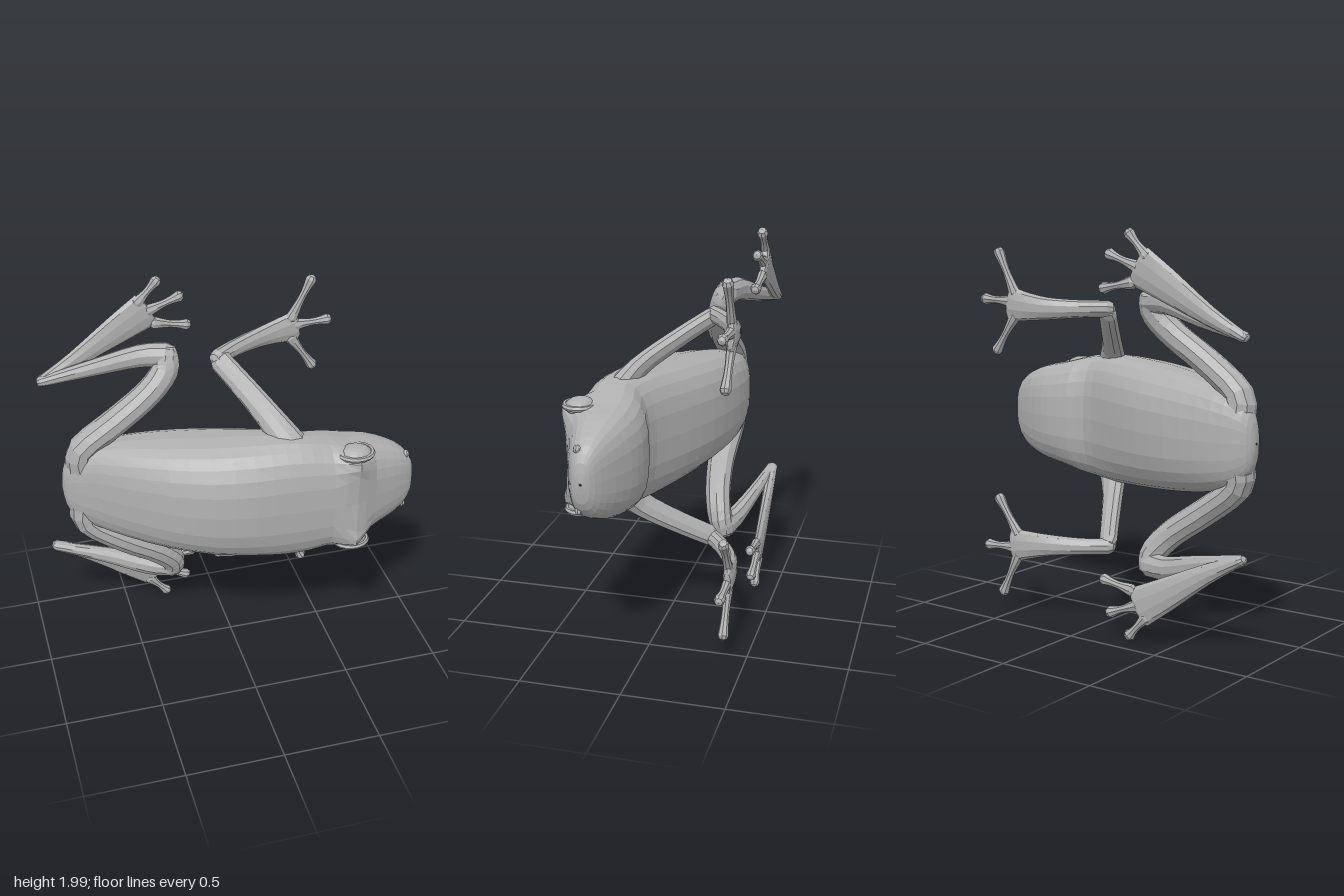
import * as THREE from 'three';

const skin = new THREE.MeshStandardMaterial({ color: 0xb0b0b0, flatShading: true });
skin.name = 'grey skin';

const V = (x, y, z) => new THREE.Vector3(x, y, z);

// Skin a list of equal rings, each counter-clockwise about the direction of travel
function loft(rings) {
  const n = rings[0].length, pos = [], idx = [];
  rings.forEach(r => r.forEach(p => pos.push(p.x, p.y, p.z)));
  for (let i = 0; i < rings.length - 1; i++) {
    for (let j = 0; j < n; j++) {
      const a = i * n + j, b = i * n + (j + 1) % n;
      idx.push(a, b, b + n, a, b + n, a + n);
    }
  }
  const g = new THREE.BufferGeometry();
  g.setAttribute('position', new THREE.Float32BufferAttribute(pos, 3));
  g.setIndex(idx);
  g.computeVertexNormals();
  return g;
}

const spline = pts => new THREE.CatmullRomCurve3(pts, false, 'catmullrom', 0.5);

// Round-ended limb; rows are [x, y, z, radius in the xy plane, radius towards z]
function limb(rows, sides = 8, perRow = 3) {
  const path = spline(rows.map(r => V(r[0], r[1], r[2])));
  const size = spline(rows.map(r => V(r[3], r[4], 0)));
  const steps = (rows.length - 1) * perRow, rings = [];
  const ring = (t, shift, scale) => {
    const c = path.getPoint(t), d = path.getTangent(t), s = size.getPoint(t);
    const a = d.clone().cross(V(0, 0, 1)).normalize(), b = d.clone().cross(a);
    c.addScaledVector(d, shift * Math.min(s.x, s.y));
    rings.push(Array.from({ length: sides }, (_, j) => {
      const q = (j / sides) * Math.PI * 2;
      return c.clone().addScaledVector(a, Math.cos(q) * s.x * scale)
        .addScaledVector(b, Math.sin(q) * s.y * scale);
    }));
  };
  ring(0, -0.95, 0.01);
  ring(0, -0.65, 0.7);
  for (let i = 0; i <= steps; i++) ring(i / steps, 0, 1);
  ring(1, 0.65, 0.7);
  ring(1, 0.95, 0.01);
  return loft(rings);
}

// Body and head; rows are [x, half width, back z, belly z]
function bodyGeometry() {
  const rows = [
    [-0.842, 0.005, -0.16, -0.17], [-0.83, 0.1, -0.12, -0.2], [-0.79, 0.175, -0.08, -0.235],
    [-0.7, 0.23, -0.02, -0.255], [-0.55, 0.27, 0.1, -0.26], [-0.36, 0.3, 0.235, -0.235],
    [-0.16, 0.32, 0.33, -0.18], [0.04, 0.333, 0.37, -0.095], [0.2, 0.34, 0.38, -0.015],
    [0.33, 0.33, 0.385, 0.035], [0.43, 0.31, 0.39, 0.01], [0.55, 0.28, 0.39, 0.005],
    [0.66, 0.26, 0.35, 0.03], [0.77, 0.22, 0.31, 0.075], [0.85, 0.17, 0.275, 0.12],
    [0.895, 0.1, 0.245, 0.16], [0.91, 0.005, 0.205, 0.195],
  ];
  const outline = spline(rows.map(r => V(r[0], r[1], 0)));
  const profile = spline(rows.map(r => V(r[2], r[3], 0)));
  const steps = (rows.length - 1) * 2, sides = 24, rings = [];
  for (let i = 0; i <= steps; i++) {
    const { x, y: w } = outline.getPoint(i / steps), { x: top, y: low } = profile.getPoint(i / steps);
    const brow = Math.exp(-(((x - 0.55) / 0.075) ** 2));
    rings.push(Array.from({ length: sides }, (_, j) => {
      const q = (j / sides) * Math.PI * 2, c = Math.cos(q), s = Math.sin(q);
      // Squarer section with raised corners above the eyes
      const k = s > 0 ? 0.76 - 0.36 * brow : 0.76;
      const power = v => Math.sign(v) * Math.abs(v) ** k;
      const lift = s > 0 ? brow * 0.04 * (2 * Math.abs(c * s)) ** 2 : 0;
      return V(x, 1 + w * power(c), (top + low) / 2 + ((top - low) / 2) * power(s) + lift);
    }));
  }
  return loft(rings);
}

export function createModel() {
  const model = new THREE.Group();
  model.name = 'frog';
  const add = (parent, name, geometry) => {
    const m = new THREE.Mesh(geometry, skin);
    m.name = name;
    parent.add(m);
    return m;
  };
  add(model, 'body', bodyGeometry());

  for (const s of [1, -1]) {
    const side = new THREE.Group();
    side.name = s > 0 ? 'upperSide' : 'lowerSide';
    model.add(side);
    // Mirror the rows about the body axis at y = 1
    const part = (name, rows, sides) =>
      add(side, name, limb(rows.map(r => [r[0], 1 + s * (r[1] - 1), ...r.slice(2)]), sides));
    const digit = (name, x0, y0, x1, y1, z) => part(name, [
      [x0, y0, z, 0.034, 0.025],
      [x0 + (x1 - x0) * 0.45, y0 + (y1 - y0) * 0.45, z, 0.02, 0.02],
      [x0 + (x1 - x0) * 0.75, y0 + (y1 - y0) * 0.75, z, 0.021, 0.022],
      [x1, y1, z, 0.03, 0.028],
    ], 8);

    // Hind leg
    part('thigh', [
      [-0.73, 1.1, -0.15, 0.09, 0.085], [-0.73, 1.22, -0.14, 0.07, 0.08],
      [-0.55, 1.36, -0.13, 0.07, 0.075], [-0.38, 1.48, -0.15, 0.07, 0.07],
      [-0.285, 1.58, -0.18, 0.07, 0.066], [-0.27, 1.655, -0.205, 0.062, 0.06],
    ], 10);
    part('shin', [
      [-0.27, 1.65, -0.205, 0.066, 0.06], [-0.4, 1.645, -0.24, 0.06, 0.052],
      [-0.62, 1.58, -0.3, 0.045, 0.038], [-0.88, 1.51, -0.355, 0.026, 0.03],
    ], 10);
    part('foot', [
      [-0.88, 1.508, -0.36, 0.025, 0.032], [-0.7, 1.6, -0.37, 0.048, 0.03],
      [-0.48, 1.73, -0.38, 0.08, 0.028], [-0.33, 1.815, -0.387, 0.1, 0.024],
    ], 10);
    digit('hindToe', -0.37, 1.86, -0.275, 1.965, -0.385);
    digit('hindToe', -0.32, 1.81, -0.16, 1.87, -0.385);
    digit('hindToe', -0.29, 1.74, -0.125, 1.71, -0.385);

    // Foreleg
    part('upperArm', [
      [0.27, 1.24, 0.22, 0.1, 0.07], [0.2, 1.36, 0.13, 0.072, 0.05],
      [0.1, 1.48, -0.03, 0.062, 0.045], [0.0, 1.585, -0.19, 0.058, 0.042],
    ], 10);
    part('forearm', [
      [-0.01, 1.6, -0.2, 0.042, 0.045], [0.1, 1.6, -0.28, 0.044, 0.04],
      [0.25, 1.6, -0.355, 0.056, 0.036], [0.38, 1.61, -0.385, 0.075, 0.03],
      [0.455, 1.62, -0.388, 0.09, 0.025],
    ], 10);
    digit('finger', 0.43, 1.67, 0.53, 1.875, -0.385);
    digit('finger', 0.45, 1.63, 0.625, 1.64, -0.385);
    digit('finger', 0.43, 1.56, 0.55, 1.385, -0.385);

    // Eye with its lid, and nostril
    const eye = add(side, 'eye', new THREE.SphereGeometry(1, 14, 10));
    eye.scale.set(0.082, 0.045, 0.072);
    eye.position.set(0.55, 1 + s * 0.255, 0.315);
    const lid = add(side, 'eyelid', new THREE.TorusGeometry(0.085, 0.014, 6, 18));
    lid.rotation.x = Math.PI / 2;
    lid.scale.y = 0.88;
    lid.position.set(0.55, 1 + s * 0.262, 0.315);
    const nostril = add(side, 'nostril', new THREE.SphereGeometry(0.02, 8, 6));
    nostril.position.set(0.855, 1 + s * 0.15, 0.23);
  }
  return model;
}
